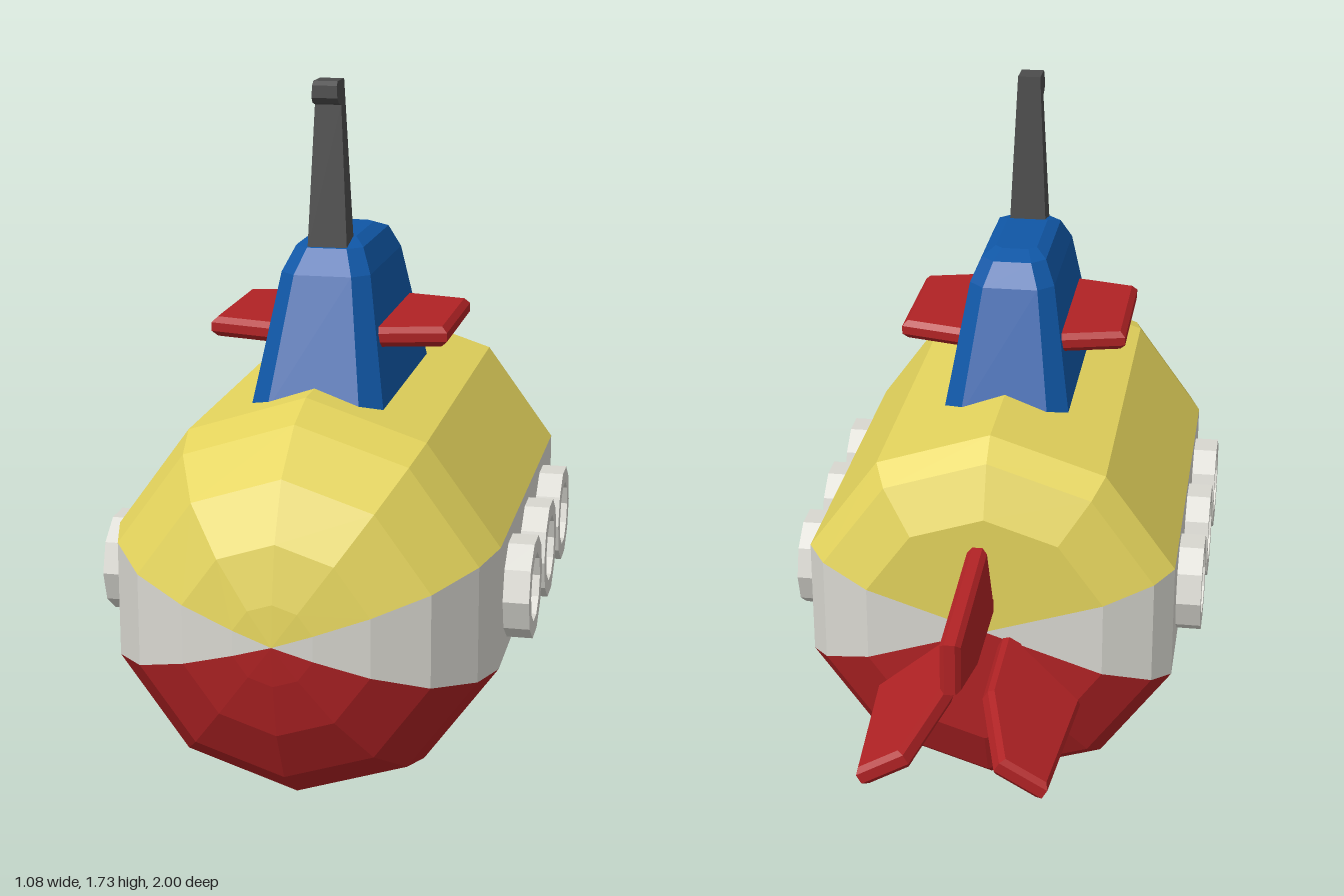
import * as THREE from 'three';

const mat = (name, color) => {
  const m = new THREE.MeshStandardMaterial({ color });
  m.name = name;
  return m;
};

// Faceted skin between closed rings; sectors picks which strips to build.
function loft(rings, sectors) {
  const pos = [];
  const tri = (a, b, c) => {
    const area = b.clone().sub(a).cross(c.clone().sub(a)).length();
    if (area > 1e-8) for (const p of [a, b, c]) pos.push(p.x, p.y, p.z);
  };
  const n = rings[0].length;
  for (let i = 0; i < rings.length - 1; i++) {
    for (const j of sectors) {
      const k = (j + 1) % n;
      const a = rings[i][j], b = rings[i][k], c = rings[i + 1][k], d = rings[i + 1][j];
      tri(a, b, c);
      tri(a, c, d);
    }
  }
  const g = new THREE.BufferGeometry();
  g.setAttribute('position', new THREE.Float32BufferAttribute(pos, 3));
  g.computeVertexNormals();
  return g;
}

const outline = (pts) => new THREE.Shape(pts.map(([x, y]) => new THREE.Vector2(x, y)));

// Chamfered flat plate, centred on its thickness.
function plate(pts, thickness, bevel) {
  const g = new THREE.ExtrudeGeometry(outline(pts), {
    depth: thickness - 2 * bevel, bevelEnabled: true, bevelThickness: bevel,
    bevelSize: bevel, bevelOffset: -bevel, bevelSegments: 1,
  });
  return g.translate(0, 0, bevel - thickness / 2);
}

export function createModel() {
  const model = new THREE.Group();
  model.name = 'submarine';
  const yellow = mat('yellow', 0xe3d35c);
  const white = mat('offWhite', 0xd8d7d0);
  const red = mat('red', 0xb02224);
  const blue = mat('blue', 0x1057a6);
  const grey = mat('darkGrey', 0x4c4c4c);
  const add = (name, geometry, material, parent = model) => {
    const m = new THREE.Mesh(geometry, material);
    m.name = name;
    parent.add(m);
    return m;
  };

  // Hull: ten-sided rings [z, radius] from stern to nose
  const hullRings = [
    [-0.49, 0], [-0.49, 0.32], [-0.435, 0.45], [-0.37, 0.5], [0.64, 0.5],
    [0.76, 0.465], [0.89, 0.37], [0.96, 0.235], [0.99, 0.1], [1.0, 0],
  ].map(([z, r]) => Array.from({ length: 10 }, (_, j) => {
    const a = THREE.MathUtils.degToRad(18 + 36 * j);
    return new THREE.Vector3(r * Math.cos(a), 0.5 + r * Math.sin(a), z);
  }));
  add('upperHull', loft(hullRings, [0, 1, 2, 3]), yellow);
  add('hullSides', loft(hullRings, [4, 9]), white);
  add('lowerHull', loft(hullRings, [5, 6, 7, 8]), red);

  // Porthole rings, three on each side
  const decagon = (r) => Array.from({ length: 10 }, (_, i) =>
    [r * Math.cos(i * Math.PI / 5), r * Math.sin(i * Math.PI / 5)]);
  const ringShape = outline(decagon(0.128));
  ringShape.holes.push(outline(decagon(0.086)));
  const ringGeo = new THREE.ExtrudeGeometry(ringShape, { depth: 0.07, bevelEnabled: false });
  for (const s of [1, -1]) {
    for (const z of [0.465, 0.16, -0.145]) {
      const p = add(s > 0 ? 'leftPorthole' : 'rightPorthole', ringGeo, white);
      p.position.set(s * 0.47, 0.5, z);
      p.rotation.y = s * Math.PI / 2;
    }
  }

  // Tower: chamfered rectangles [y, half width, back z, front z, chamfer]
  const towerRings = [
    [0.945, 0.165, -0.135, 0.57, 0.05],
    [1.26, 0.112, -0.02, 0.46, 0.04],
    [1.32, 0.085, 0.02, 0.41, 0.035],
    [1.337, 0.055, 0.08, 0.34, 0.02],
    [1.337, 0, 0.2, 0.2, 0],
  ].map(([y, w, b, f, c]) => [
    [w, f - c], [w, b + c], [w - c, b], [c - w, b],
    [-w, b + c], [-w, f - c], [c - w, f], [w - c, f],
  ].map(([x, z]) => new THREE.Vector3(x, y, z)));
  add('tower', loft(towerRings, [0, 1, 2, 3, 4, 5, 6, 7]), blue);

  // Tower wings
  for (const s of [1, -1]) {
    const pts = [[0.08, -0.02], [0.14, -0.005], [0.3, 0.035], [0.3, 0.4], [0.14, 0.44], [0.08, 0.45]];
    const g = plate(pts.map(([x, z]) => [s * x, z]), 0.05, 0.014).rotateX(Math.PI / 2);
    add(s > 0 ? 'leftWing' : 'rightWing', g, red).position.y = 1.107;
  }

  // Periscope: side outline [-z, y], narrowing towards the top
  const scope = new THREE.ExtrudeGeometry(outline([
    [-0.405, 1.31], [-0.322, 1.31], [-0.342, 1.73], [-0.415, 1.73],
    [-0.428, 1.72], [-0.428, 1.69], [-0.415, 1.677], [-0.388, 1.67],
  ]), { depth: 2, bevelEnabled: false }).translate(0, 0, -1).rotateY(Math.PI / 2);
  const sp = scope.attributes.position;
  for (let i = 0; i < sp.count; i++) {
    const t = (sp.getY(i) - 1.31) / 0.42;
    sp.setX(i, sp.getX(i) * THREE.MathUtils.lerp(0.05, 0.03, t));
  }
  scope.computeVertexNormals();
  add('periscope', scope, grey);

  // Three tail fins spaced evenly round the stern axis
  const finGeo = plate([
    [0.47, 0.05], [0.75, 0.05], [1.0, 0.125], [1.0, 0.257], [0.585, 0.293], [0.49, 0.11], [0.47, 0.1],
  ], 0.05, 0.012).rotateY(Math.PI / 2);
  ['topFin', 'rightFin', 'leftFin'].forEach((name, i) => {
    const fin = add(name, finGeo, red);
    fin.position.y = 0.5;
    fin.rotation.z = i * Math.PI * 2 / 3;
  });

  return model;
}
